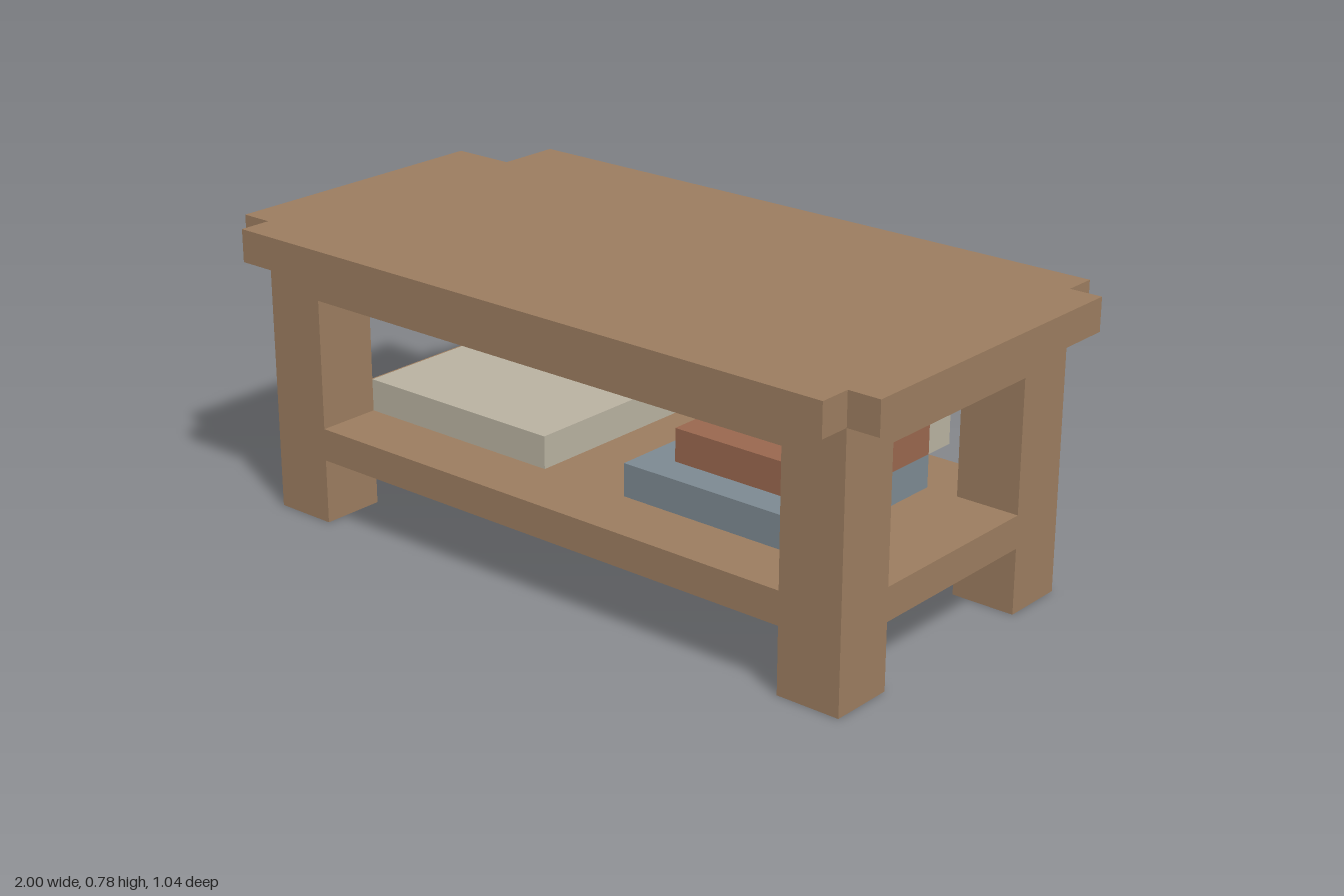
import * as THREE from 'three';

// The table sits on a block grid: 23 x 9 x 12 cells
const U = 2 / 23, NX = 23, NZ = 12;

const material = (name, color) => {
  const m = new THREE.MeshStandardMaterial({ color });
  m.name = name;
  return m;
};

export function createModel() {
  const wood = material('wood', 0x9b7c5f);
  const blue = material('blue cover', 0x7c8991);
  const red = material('red cover', 0x99674e);
  const paper = material('paper', 0xb8b1a0);

  const table = new THREE.Group();
  table.name = 'coffeeTable';

  // Box between two grid corners
  const block = (name, mat, [x0, y0, z0], [x1, y1, z1]) => {
    const geo = new THREE.BoxGeometry((x1 - x0) * U, (y1 - y0) * U, (z1 - z0) * U);
    const mesh = new THREE.Mesh(geo, mat);
    mesh.name = name;
    mesh.position.set(((x0 + x1 - NX) / 2) * U, ((y0 + y1) / 2) * U, ((z0 + z1 - NZ) / 2) * U);
    table.add(mesh);
  };

  // Tabletop with notched corners, the back right-hand one (-x, -z) cut deeper
  const outline = [
    [0, 2], [2, 2], [2, 0], [22, 0], [22, 1], [23, 1],
    [23, 11], [22, 11], [22, 12], [1, 12], [1, 11], [0, 11],
  ].map(([x, z]) => new THREE.Vector2((x - NX / 2) * U, (NZ / 2 - z) * U));
  const topGeo = new THREE.ExtrudeGeometry(new THREE.Shape(outline), { depth: U, bevelEnabled: false });
  topGeo.rotateX(-Math.PI / 2);
  const top = new THREE.Mesh(topGeo, wood);
  top.name = 'tabletop';
  top.position.y = 8 * U;
  table.add(top);

  // Legs
  for (const x of [1, 20]) {
    for (const z of [1, 9]) block('leg', wood, [x, 0, z], [x + 2, 8, z + 2]);
  }

  // Apron rails under the top
  for (const z of [1, 10]) block('longApron', wood, [3, 7, z], [20, 8, z + 1]);
  for (const x of [1, 21]) block('shortApron', wood, [x, 7, 3], [x + 1, 8, 9]);

  // Lower shelf, flush with the legs
  block('shelf', wood, [3, 2, 1], [20, 3, 11]);
  for (const x of [1, 20]) block('shelfEnd', wood, [x, 2, 3], [x + 2, 3, 9]);

  // Books on the shelf
  block('paleBook', paper, [3, 3, 3], [10, 4, 9]);
  block('blueBook', blue, [13, 3, 3], [19, 4, 9]);
  block('redBook', red, [14, 4, 3], [19, 5, 8]);
  block('redBookPages', paper, [14, 4, 2], [19, 5, 3]);

  return table;
}
